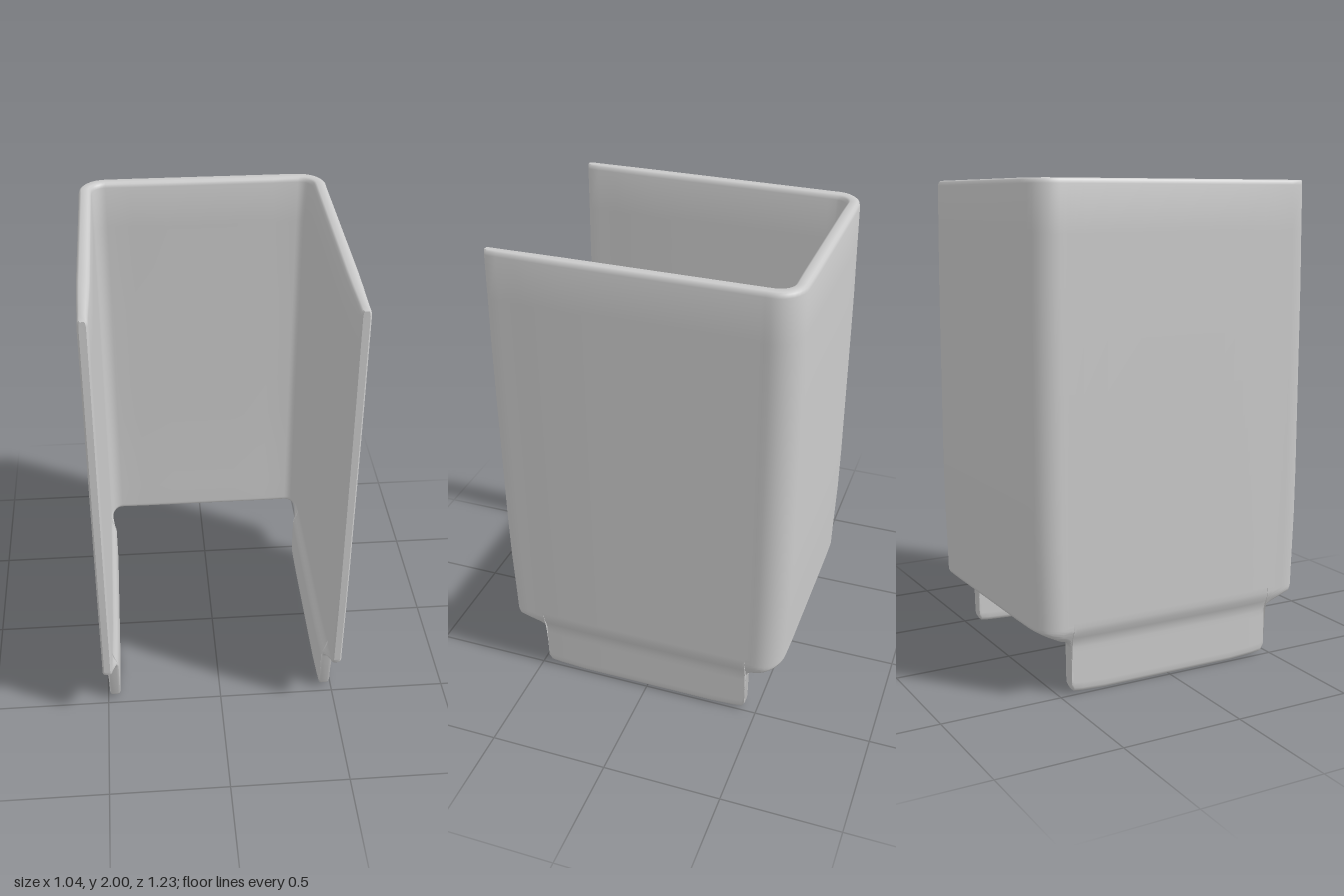
import * as THREE from 'three';
import { toCreasedNormals } from 'three/addons/utils/BufferGeometryUtils.js';

const { lerp, smoothstep } = THREE.MathUtils;
const WALL_X = 0.492, BACK_Z = -0.585, BEND = 0.085;

// Stations along one half of the U: position, outward normal, lower edge height, thickness
function halfStations() {
  const list = [];
  // side wall: [z, lower edge], dropping down around the tab
  const side = [
    [0.612, 0.28], [0.6, 0.266], [0.56, 0.248], [0.51, 0.226], [0.49, 0.212], [0.481, 0.19],
    [0.479, 0.03], [0.465, 0.01], [0.42, 0.005], [0.3, 0], [0.15, 0], [0, 0], [-0.15, 0], [-0.3, 0],
    [-0.4, 0.005], [-0.44, 0.01], [-0.452, 0.03], [-0.455, 0.19], [-0.464, 0.21], [-0.48, 0.22],
  ];
  side.forEach(([z, low], i) => list.push({
    x: WALL_X, z, nx: 1, nz: 0, low,
    half: i === 0 ? 0.013 : lerp(0.026, 0.02, smoothstep(z, 0.3, 0.6)),
  }));
  // rounded bend
  for (let i = 0; i <= 8; i++) {
    const a = (i / 8) * Math.PI / 2, nx = Math.cos(a), nz = -Math.sin(a);
    list.push({
      x: WALL_X - BEND + BEND * nx, z: BACK_Z + BEND + BEND * nz,
      nx, nz, low: lerp(0.226, 0.27, Math.sin(a)), half: 0.027,
    });
  }
  // back panel
  for (const x of [0.3, 0.15]) list.push({ x, z: BACK_Z, nx: 0, nz: -1, low: 0.27, half: 0.029 });
  return list;
}

// Heights down the wall with their share of the thickness
function rowsFor(low) {
  const rows = [[2, 0.55], [1.994, 0.85], [1.98, 1]];
  for (let y = 1.8; y > 0.35; y -= 0.2) rows.push([y, 1]);
  rows.push([0.32, 1]);
  for (let i = 1; i <= 14; i++) rows.push([lerp(0.32, low + 0.016, i / 14), 1]);
  rows.push([low + 0.005, 0.85], [low, 0.55]);
  return rows;
}

function sleeveGeometry() {
  const half = halfStations();
  const stations = [
    ...half,
    { x: 0, z: BACK_Z, nx: 0, nz: -1, low: 0.27, half: 0.029 },
    ...half.slice().reverse().map((s) => ({ ...s, x: -s.x, nx: -s.nx })),
  ];
  const pos = [], idx = [];
  let n = 0;
  for (const s of stations) {
    const rows = rowsFor(s.low);
    n = rows.length;
    const put = ([y, k], dir) => {
      const jog = 0.023 * (1 - smoothstep(y, 0.2, 0.275)) * Math.sign(s.x); // inward step above the tab
      const x = s.x + s.nx * s.half * k * dir - jog;
      let z = s.z + s.nz * s.half * k * dir;
      // slight draw-in of the front and back edges near the bottom and at the top
      const drawIn = 0.013 * (1 - smoothstep(y, 0.2, 0.75)) + 0.005 * smoothstep(y, 1.5, 2);
      z -= Math.sign(z) * drawIn * Math.pow(Math.abs(z) / 0.6, 4);
      pos.push(x, y, z);
    };
    rows.forEach((r) => put(r, 1));
    rows.reverse().forEach((r) => put(r, -1));
  }
  const ring = n * 2;
  for (let i = 0; i < stations.length - 1; i++) {
    for (let j = 0; j < ring; j++) {
      const a = i * ring + j, b = i * ring + (j + 1) % ring;
      idx.push(a, b, a + ring, b, b + ring, a + ring);
    }
  }
  // closing strips on the two front edges
  const end = (stations.length - 1) * ring;
  for (let j = 0; j < n - 1; j++) {
    const o = j, p = j + 1, q = ring - 2 - j, r = ring - 1 - j;
    idx.push(o, q, p, o, r, q);
    idx.push(end + o, end + p, end + q, end + o, end + q, end + r);
  }
  const g = new THREE.BufferGeometry();
  g.setAttribute('position', new THREE.Float32BufferAttribute(pos, 3));
  g.setIndex(idx);
  return toCreasedNormals(g, 0.8);
}

export function createModel() {
  const group = new THREE.Group();
  group.name = 'uShapedCover';
  const mesh = new THREE.Mesh(sleeveGeometry(), new THREE.MeshStandardMaterial({ color: 0xcccccc }));
  mesh.name = 'coverWithSideTabs';
  group.add(mesh);
  return group;
}
